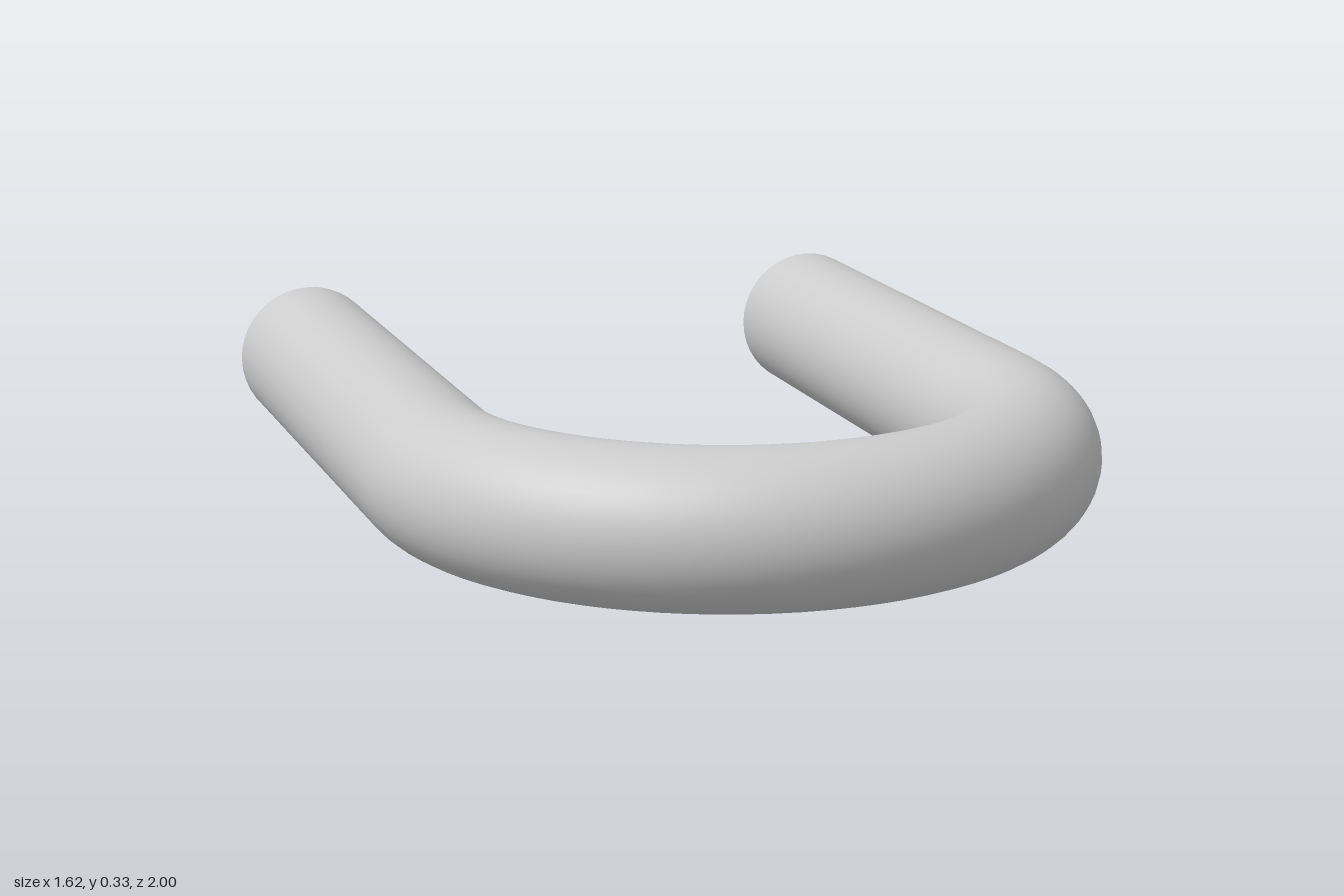
import * as THREE from 'three';

const TUBE = 0.167;            // radius of the round bar
const BEND = 0.645;            // centre-line radius of the bend
const BEND_Z = 0.188;          // where the straight legs meet the bend
const BACK_Z = -1;             // cut ends of the legs
const SIDES = 40;

export function createModel() {
  const group = new THREE.Group();
  group.name = 'uBar';
  const material = new THREE.MeshStandardMaterial({ color: 0xcccccc });

  const add = (name, geometry, x, z) => {
    const mesh = new THREE.Mesh(geometry, material);
    mesh.name = name;
    mesh.position.set(x, TUBE, z);
    group.add(mesh);
  };

  // Half-circle bend, laid flat and bulging to the front
  const bend = new THREE.TorusGeometry(BEND, TUBE, SIDES, 39, Math.PI);
  bend.rotateX(Math.PI / 2);
  add('bend', bend, 0, BEND_Z);

  // Straight legs with flat end caps at the back
  const length = BEND_Z - BACK_Z;
  for (const [side, sign] of [['left', 1], ['right', -1]]) {
    const leg = new THREE.CylinderGeometry(TUBE, TUBE, length, SIDES, 1, true);
    leg.rotateX(Math.PI / 2);
    add(side + 'Leg', leg, sign * BEND, (BEND_Z + BACK_Z) / 2);

    const cap = new THREE.CircleGeometry(TUBE, SIDES);
    cap.rotateY(Math.PI);
    add(side + 'EndCap', cap, sign * BEND, BACK_Z);
  }
  return group;
}
